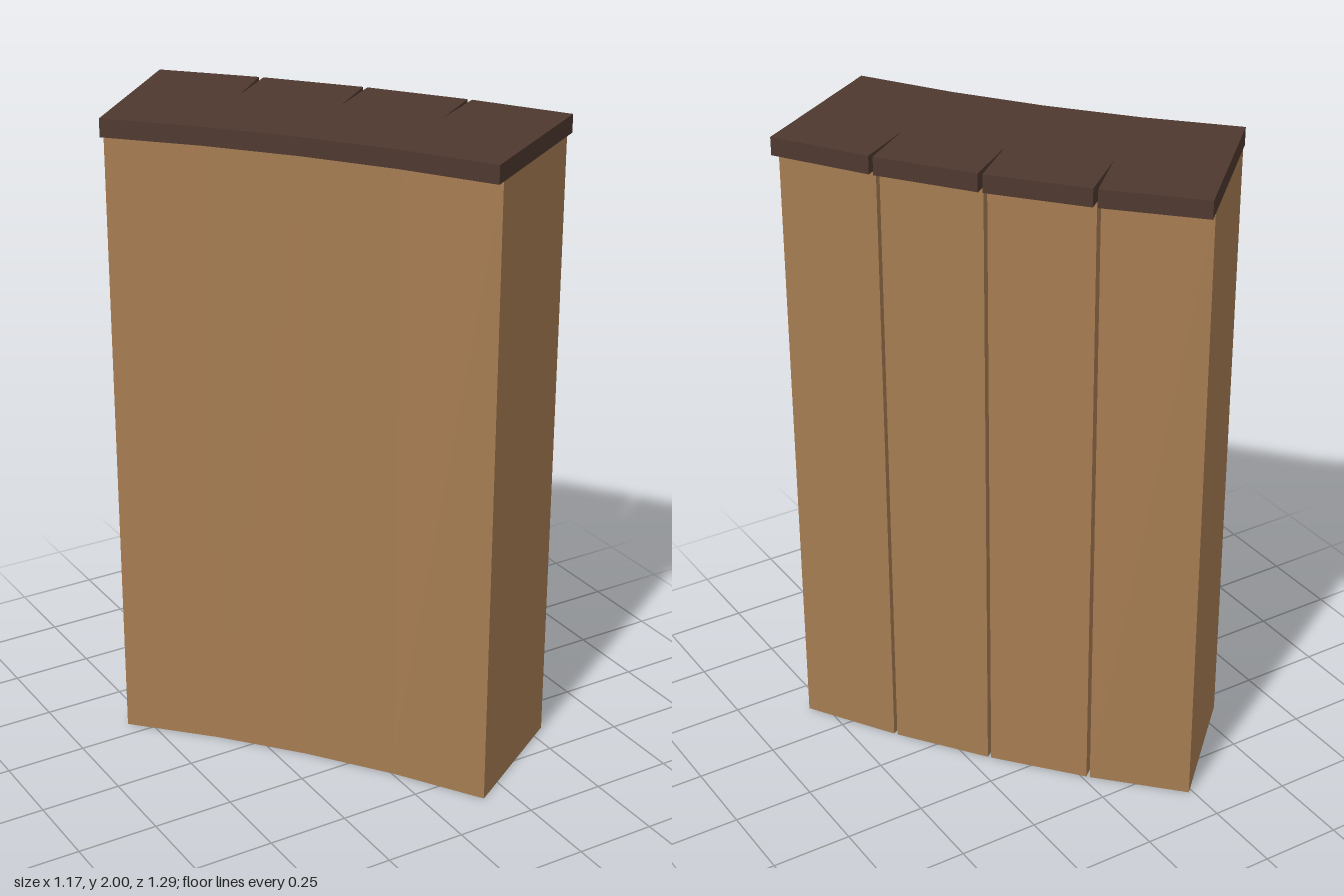
import * as THREE from 'three';

// Curved counter: four straight sections fanned along a shallow arc
export function createModel() {
  const model = new THREE.Group();
  model.name = 'curvedCounter';

  const wood = new THREE.MeshStandardMaterial({ color: 0xa67c52 });
  const darkWood = new THREE.MeshStandardMaterial({ color: 0x4e382f });

  const count = 4, radius = 4.52, step = 3.9, middle = 52; // degrees
  const length = 0.312, bodyHeight = 1.945, topHeight = 0.055;
  const bodyGeometry = new THREE.BoxGeometry(length, bodyHeight, 0.454);
  const topGeometry = new THREE.BoxGeometry(length, topHeight, 0.525);

  // Pivot at the centre of the arc
  const mid = THREE.MathUtils.degToRad(middle);
  const centreX = 0.013 - radius * Math.sin(mid);
  const centreZ = -0.007 + radius * Math.cos(mid);

  for (let i = 0; i < count; i++) {
    const section = new THREE.Group();
    section.name = `section${i + 1}`;
    section.position.set(centreX, 0, centreZ);
    section.rotation.y = -THREE.MathUtils.degToRad(middle + (i - (count - 1) / 2) * step);

    // Body panel, set slightly towards the inner side
    const body = new THREE.Mesh(bodyGeometry, wood);
    body.name = 'counterBody';
    body.position.set(0, bodyHeight / 2, -radius + 0.005);

    // Overhanging worktop slab
    const top = new THREE.Mesh(topGeometry, darkWood);
    top.name = 'counterTop';
    top.position.set(0, bodyHeight + topHeight / 2, -radius);

    section.add(body, top);
    model.add(section);
  }
  return model;
}
